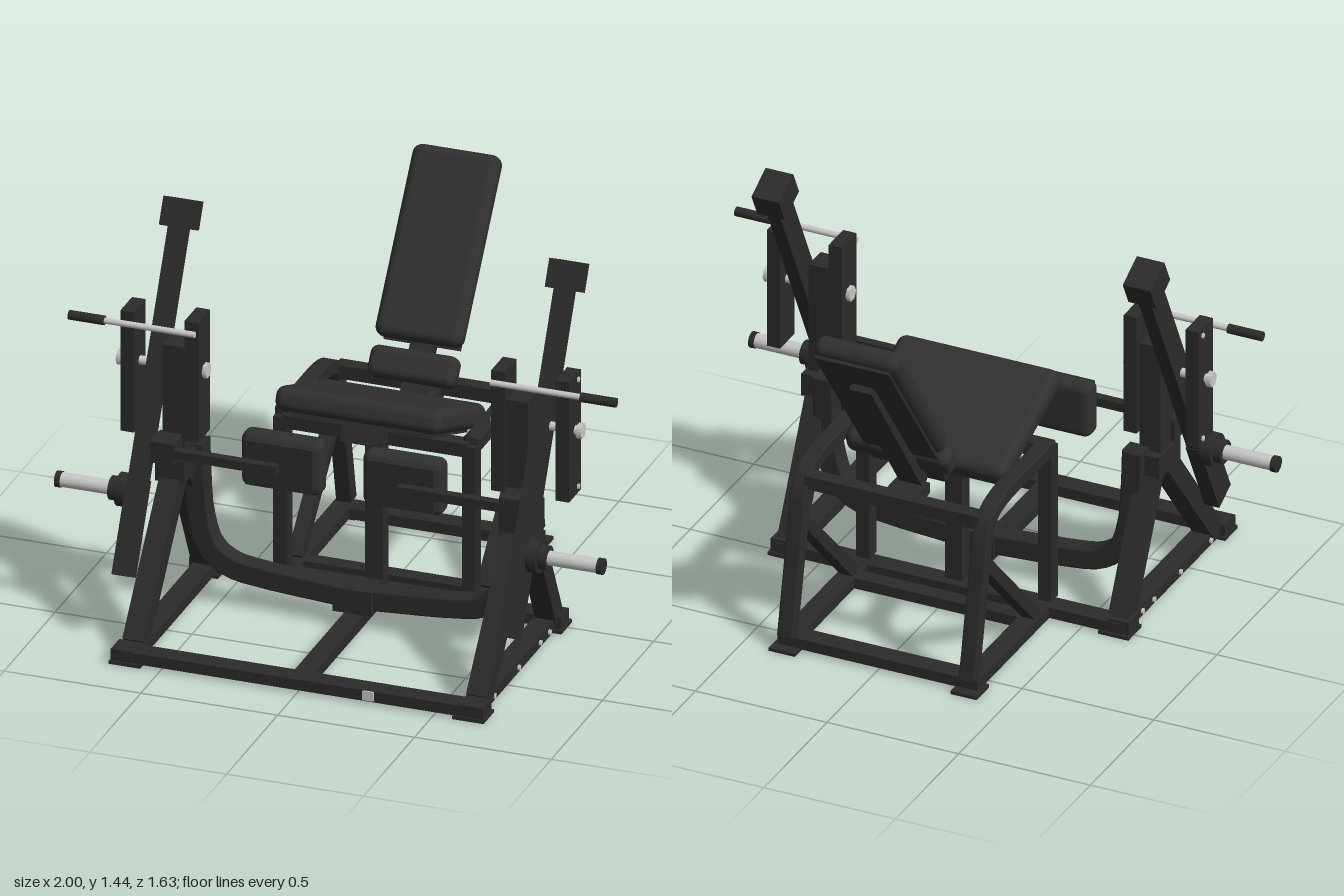
import * as THREE from 'three';
import { RoundedBoxGeometry } from 'three/addons/geometries/RoundedBoxGeometry.js';

const mat = (name, color) => {
  const m = new THREE.MeshStandardMaterial({ color });
  m.name = name;
  return m;
};

export function createModel() {
  const model = new THREE.Group();
  model.name = 'legExtensionMachine';
  const frame = mat('frame black', 0x2b2b2b);
  const vinyl = mat('pad charcoal', 0x303030);
  const steel = mat('steel', 0xc8c8c8);

  const add = (name, geo, m, x = 0, y = 0, z = 0, rx = 0, parent = model) => {
    const mesh = new THREE.Mesh(geo, m);
    mesh.name = name;
    mesh.position.set(x, y, z);
    mesh.rotation.x = rx;
    parent.add(mesh);
    return mesh;
  };
  // Box given by its min and max corners
  const box = (name, x0, x1, y0, y1, z0, z1, m = frame) =>
    add(name, new THREE.BoxGeometry(Math.abs(x1 - x0), y1 - y0, z1 - z0), m,
      (x0 + x1) / 2, (y0 + y1) / 2, (z0 + z1) / 2);
  // Straight beam in a plane of constant x, between two [z, y] points
  const beam = (name, x, [z0, y0], [z1, y1], w, d) =>
    add(name, new THREE.BoxGeometry(w, Math.hypot(z1 - z0, y1 - y0), d), frame,
      x, (y0 + y1) / 2, (z0 + z1) / 2, Math.atan2(z1 - z0, y1 - y0));
  // Cylinder along x
  const rod = (name, x0, x1, y, z, r, m, sides = 20) => {
    const mesh = add(name, new THREE.CylinderGeometry(r, r, Math.abs(x1 - x0), sides), m, (x0 + x1) / 2, y, z);
    mesh.rotation.z = Math.PI / 2;
    return mesh;
  };
  // Bent flat-sided tube: a planar path widened and extruded
  const bentTube = (pts, width, depth) => {
    const curve = new THREE.CatmullRomCurve3(pts.map(([a, b]) => new THREE.Vector3(a, b, 0)), false, 'centripetal');
    const a = [], b = [], n = 40;
    for (let i = 0; i <= n; i++) {
      const p = curve.getPoint(i / n), t = curve.getTangent(i / n);
      a.push(new THREE.Vector2(p.x - t.y * width / 2, p.y + t.x * width / 2));
      b.unshift(new THREE.Vector2(p.x + t.y * width / 2, p.y - t.x * width / 2));
    }
    const g = new THREE.ExtrudeGeometry(new THREE.Shape([...a, ...b]), { depth: depth - 0.012,
      bevelEnabled: true, bevelSize: 0.006, bevelOffset: -0.006, bevelThickness: 0.006, bevelSegments: 2 });
    return g.translate(0, 0, 0.006 - depth / 2);
  };

  // Base cross beams and centre spine
  box('frontBaseBeam', -0.66, 0.66, 0.01, 0.05, 0.735, 0.81);
  box('middleBaseBeam', -0.66, 0.66, 0.01, 0.05, -0.035, 0.04);
  box('rearBaseBeam', -0.375, 0.375, 0.01, 0.05, -0.6, -0.525);
  box('innerBaseBeam', -0.33, 0.33, 0.01, 0.05, -0.14, -0.08);
  box('baseSpine', -0.036, 0.036, 0.01, 0.05, 0.03, 0.75);
  box('basePlug', 0.24, 0.28, 0.015, 0.05, 0.809, 0.816, steel);

  // Curved front yoke with its joint box
  const half = [[0.588, 0.6], [0.583, 0.45], [0.572, 0.32], [0.535, 0.205], [0.46, 0.148], [0.35, 0.128], [0.15, 0.113]];
  const yoke = [...half, [0, 0.105], ...half.map(([x, y]) => [-x, y]).reverse()];
  add('frontYoke', bentTube(yoke, 0.075, 0.075), frame, 0, 0, 0.217);
  box('yokeJoint', -0.07, 0.07, 0.06, 0.15, 0.165, 0.275);

  // Seat supports
  box('centrePost', -0.032, 0.032, 0.05, 0.65, 0, 0.06);
  box('seatCrossBar', -0.34, 0.34, 0.61, 0.66, 0, 0.055);
  box('backCrossBar', -0.33, 0.33, 0.58, 0.63, -0.495, -0.44);
  box('backBracket', -0.06, 0.06, 0.565, 0.605, -0.47, -0.31);

  // Tilted seat
  const seat = new THREE.Group();
  seat.name = 'seat';
  seat.position.set(0, 0.72, -0.005);
  seat.rotation.x = -0.37;
  model.add(seat);
  add('seatPad', new RoundedBoxGeometry(0.61, 0.088, 0.5, 5, 0.035), vinyl, 0, 0, 0, 0, seat);
  add('seatBoard', new THREE.BoxGeometry(0.5, 0.018, 0.43), frame, 0, -0.052, 0, 0, seat);
  add('seatBeam', new THREE.BoxGeometry(0.1, 0.055, 0.46), frame, 0, -0.088, 0.01, 0, seat);

  // Reclined backrest
  const back = new THREE.Group();
  back.name = 'backrest';
  back.position.set(0, 1.075, -0.575);
  back.rotation.x = -0.63;
  model.add(back);
  add('backPad', new RoundedBoxGeometry(0.32, 0.68, 0.08, 5, 0.035), vinyl, 0, 0, 0, 0, back);
  add('backBoard', new THREE.BoxGeometry(0.28, 0.66, 0.012), frame, 0, -0.01, -0.047, 0, back);
  add('lumbarPad', new RoundedBoxGeometry(0.32, 0.11, 0.08, 5, 0.03), vinyl, 0, -0.425, -0.012, 0, back);
  beam('backBeam', 0, [-0.72, 1.18], [-0.31, 0.6], 0.085, 0.045);

  for (const s of [-1, 1]) {
    // Base rails and foot plates
    box('sideBaseRail', s * 0.585, s * 0.66, 0.01, 0.05, 0, 0.78);
    box('rearSideRail', s * 0.31, s * 0.38, 0.01, 0.05, -0.6, 0.02);
    box('frontFoot', s * 0.57, s * 0.685, 0, 0.012, 0.72, 0.82);
    box('middleFoot', s * 0.57, s * 0.685, 0, 0.012, -0.045, 0.06);
    box('rearFoot', s * 0.295, s * 0.395, 0, 0.012, -0.64, -0.54);
    box('frontCorner', s * 0.6, s * 0.68, 0.01, 0.055, 0.73, 0.813);
    box('middleCorner', s * 0.6, s * 0.68, 0.01, 0.06, -0.03, 0.05);
    for (const z of [0.655, 0.415, 0.205, 0.115])
      rod('railBolt', s * 0.655, s * 0.668, 0.03, z, 0.01, steel, 6);

    // Rear frame: post, bent tube and diagonal brace
    box('seatPost', s * 0.32, s * 0.37, 0.05, 0.65, 0, 0.055);
    const tube = [[-0.03, 0.65], [0.15, 0.65], [0.36, 0.645], [0.44, 0.62], [0.485, 0.56], [0.515, 0.43], [0.595, 0.05]];
    add('rearBentTube', bentTube(tube, 0.052, 0.06), frame, s * 0.345).rotation.y = Math.PI / 2;
    beam('rearBrace', s * 0.345, [-0.1, 0.05], [-0.5, 0.46], 0.05, 0.045);

    // A-frame with upright
    beam('frontLeg', s * 0.628, [0.71, 0.04], [0.32, 0.53], 0.075, 0.075);
    beam('rearLeg', s * 0.628, [0.02, 0.04], [0.26, 0.53], 0.075, 0.07);
    box('legBracket', s * 0.575, s * 0.68, 0.5, 0.585, 0.21, 0.38);
    box('upright', s * 0.588, s * 0.668, 0.55, 1.0, 0.245, 0.34);

    // Slotted pivot plates and bolts
    box('innerPlate', s * 0.535, s * 0.585, 0.65, 1.105, 0.23, 0.345);
    box('outerPlate', s * 0.77, s * 0.82, 0.65, 1.105, 0.23, 0.345);
    rod('pivotAxle', s * 0.52, s * 0.84, 0.9, 0.285, 0.016, steel);
    for (const x of [0.52, 0.83])
      rod('pivotNut', s * x, s * (x + 0.02), 0.9, 0.285, 0.028, steel, 6);
    for (const y of [0.675, 1.08])
      rod('plateBolt', s * 0.818, s * 0.826, y, 0.26, 0.01, steel, 6);

    // Swing arm, end cap and thicker lower plate
    beam('swingArm', s * 0.705, [0.615, 0.25], [0.06, 1.36], 0.05, 0.095);
    beam('swingArmSleeve', s * 0.705, [0.62, 0.24], [0.47, 0.54], 0.056, 0.102);
    beam('swingArmCap', s * 0.705, [0.08, 1.32], [0.035, 1.41], 0.105, 0.125);

    // Weight peg
    rod('pegFlange', s * 0.725, s * 0.77, 0.5, 0.485, 0.06, frame);
    rod('pegCollar', s * 0.77, s * 0.8, 0.5, 0.485, 0.043, frame);
    rod('weightPeg', s * 0.8, s * 0.98, 0.5, 0.485, 0.026, steel);
    rod('pegEnd', s * 0.98, s * 1.0, 0.5, 0.485, 0.029, frame);

    // Hand lever
    rod('leverRod', s * 0.54, s * 0.88, 1.067, 0.363, 0.011, steel);
    rod('leverGrip', s * 0.87, s * 1.0, 1.067, 0.363, 0.017, frame);

    // Shin pad on its arm
    box('padMount', s * 0.595, s * 0.68, 0.59, 0.67, 0.33, 0.43);
    box('padArm', s * 0.22, s * 0.65, 0.615, 0.648, 0.397, 0.43);
    add('shinPad', new RoundedBoxGeometry(0.295, 0.205, 0.082, 5, 0.03), vinyl, s * 0.222, 0.633, 0.343);
    box('shinPadBoard', s * 0.1, s * 0.345, 0.55, 0.715, 0.38, 0.398);
    rod('mountBolt', s * 0.68, s * 0.69, 0.655, 0.405, 0.01, steel, 6);
  }
  return model;
}
